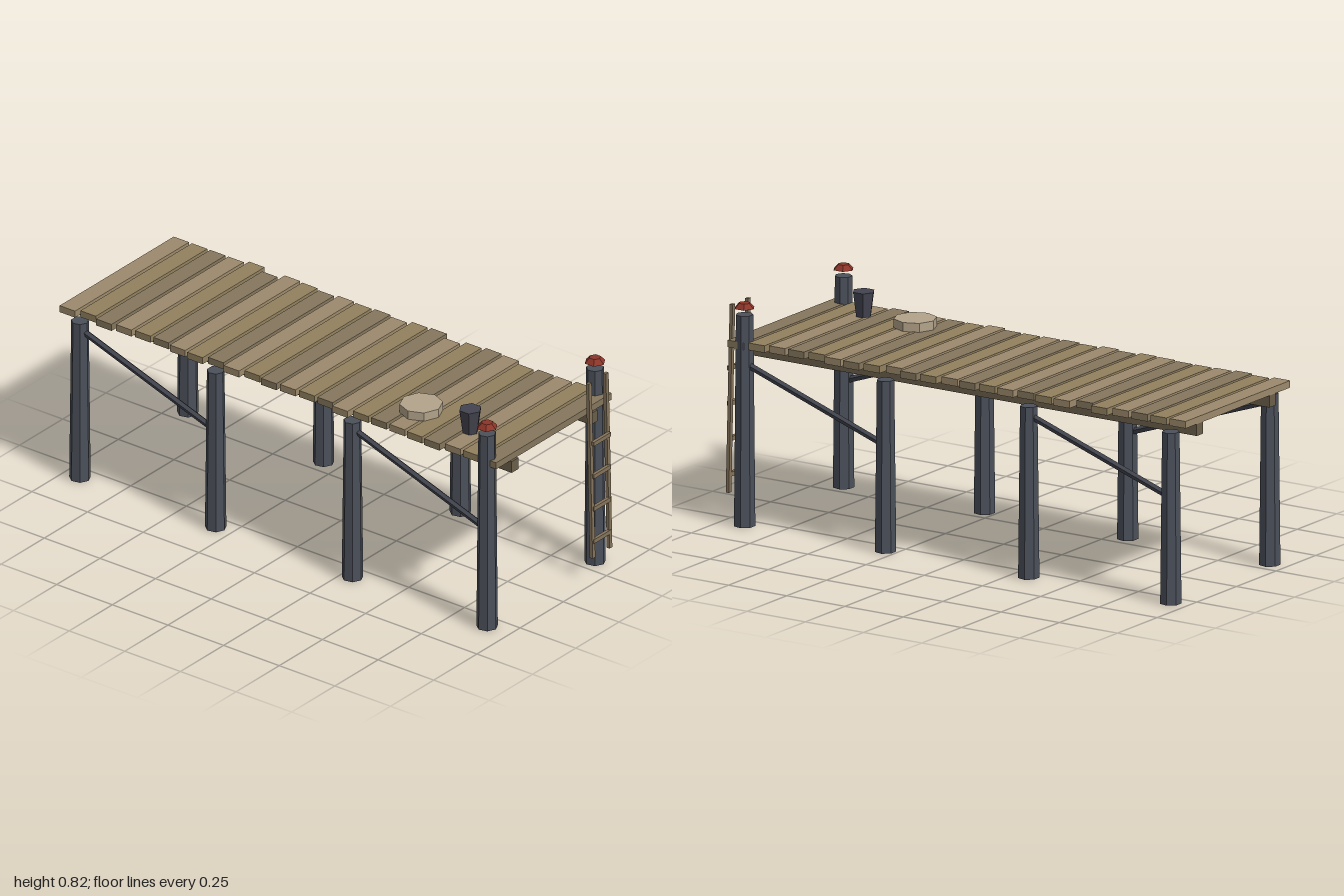
import * as THREE from 'three';

const mat = (color) => new THREE.MeshStandardMaterial({ color, flatShading: true });
const wood = [0x9c8a6c, 0x86775d, 0x92815f].map(mat);
const postMat = mat(0x4b505a);
const braceMat = mat(0x41444e);
const beamMat = mat(0x6b5f49);
const ladderMat = mat(0x85735b);
const capMat = mat(0x8c3529);
const bucketMat = mat(0x43444f);
const coilMat = mat(0xb3a48b);

export function createModel() {
  const model = new THREE.Group();
  model.name = 'pier';

  const add = (name, geometry, material, x, y, z, parent = model) => {
    const mesh = new THREE.Mesh(geometry, material);
    mesh.name = name;
    mesh.position.set(x, y, z);
    parent.add(mesh);
    return mesh;
  };
  const box = (w, h, d) => new THREE.BoxGeometry(w, h, d);
  const drum = (top, bottom, h, sides) => new THREE.CylinderGeometry(top, bottom, h, sides);

  // Round bar between two points
  const bar = (name, a, b, r, material) => {
    const dir = b.clone().sub(a);
    const mid = a.clone().add(b).multiplyScalar(0.5);
    const mesh = add(name, drum(r, r, dir.length(), 5), material, mid.x, mid.y, mid.z);
    mesh.quaternion.setFromUnitVectors(new THREE.Vector3(0, 1, 0), dir.normalize());
  };

  // Deck planks, back to front, with uneven ends [left end, right end]
  const ends = [
    [-0.34, 0.32], [-0.325, 0.32], [-0.34, 0.32], [-0.33, 0.32], [-0.325, 0.335], [-0.325, 0.305],
    [-0.335, 0.33], [-0.34, 0.325], [-0.325, 0.315], [-0.34, 0.325], [-0.325, 0.32], [-0.335, 0.325],
    [-0.33, 0.315], [-0.325, 0.33], [-0.325, 0.335], [-0.345, 0.305], [-0.33, 0.325], [-0.33, 0.335],
    [-0.33, 0.33], [-0.335, 0.31], [-0.34, 0.32], [-0.325, 0.32], [-0.325, 0.33], [-0.328, 0.34],
  ];
  const deck = new THREE.Group();
  deck.name = 'deck';
  model.add(deck);
  ends.forEach(([l, r], i) => {
    add('plank', box(r - l, 0.026, 0.069), wood[(i * 2) % 3], (l + r) / 2, 0.668, -0.965 + i * 0.0819, deck);
  });

  // Long beams under the deck
  for (const x of [-0.23, 0.228]) add('beam', box(0.039, 0.045, 1.96), beamMat, x, 0.633, -0.018);

  // Posts; the front pair rises above the deck and carries caps
  const postZ = [0.9, 0.295, -0.32, -0.93];
  for (const side of [-1, 1]) {
    const x = side * 0.312;
    postZ.forEach((z, i) => {
      const h = i === 0 ? 0.778 : 0.632;
      add('post', drum(0.032, 0.039, h, 7), postMat, x, h / 2, z);
    });
    add('postCap', drum(0.021, 0.039, 0.019, 6), capMat, x, 0.811, 0.9);

    // One diagonal brace per bay, slanting opposite ways on the two sides
    for (const i of [0, 2]) {
      bar('brace',
        new THREE.Vector3(x, 0.495 + side * 0.105, postZ[i]),
        new THREE.Vector3(x, 0.495 - side * 0.105, postZ[i + 1]), 0.0125, braceMat);
    }
  }

  // Ladder leaning on the front edge
  const ladder = new THREE.Group();
  ladder.name = 'ladder';
  model.add(ladder);
  for (const x of [0.179, 0.277]) {
    add('ladderRail', box(0.016, 0.696, 0.013), ladderMat, x, 0.448, 0.984, ladder).rotation.x = -0.024;
  }
  for (let i = 0; i < 4; i++) {
    add('ladderRung', box(0.098, 0.016, 0.013), ladderMat, 0.228, 0.165 + i * 0.1305, 0.9925, ladder);
  }

  // Bucket and flat round bundle on the deck
  add('bucket', drum(0.042, 0.029, 0.092, 6), bucketMat, -0.197, 0.727, 0.735);
  add('coil', drum(0.078, 0.078, 0.033, 8), coilMat, -0.182, 0.6975, 0.503);

  return model;
}
